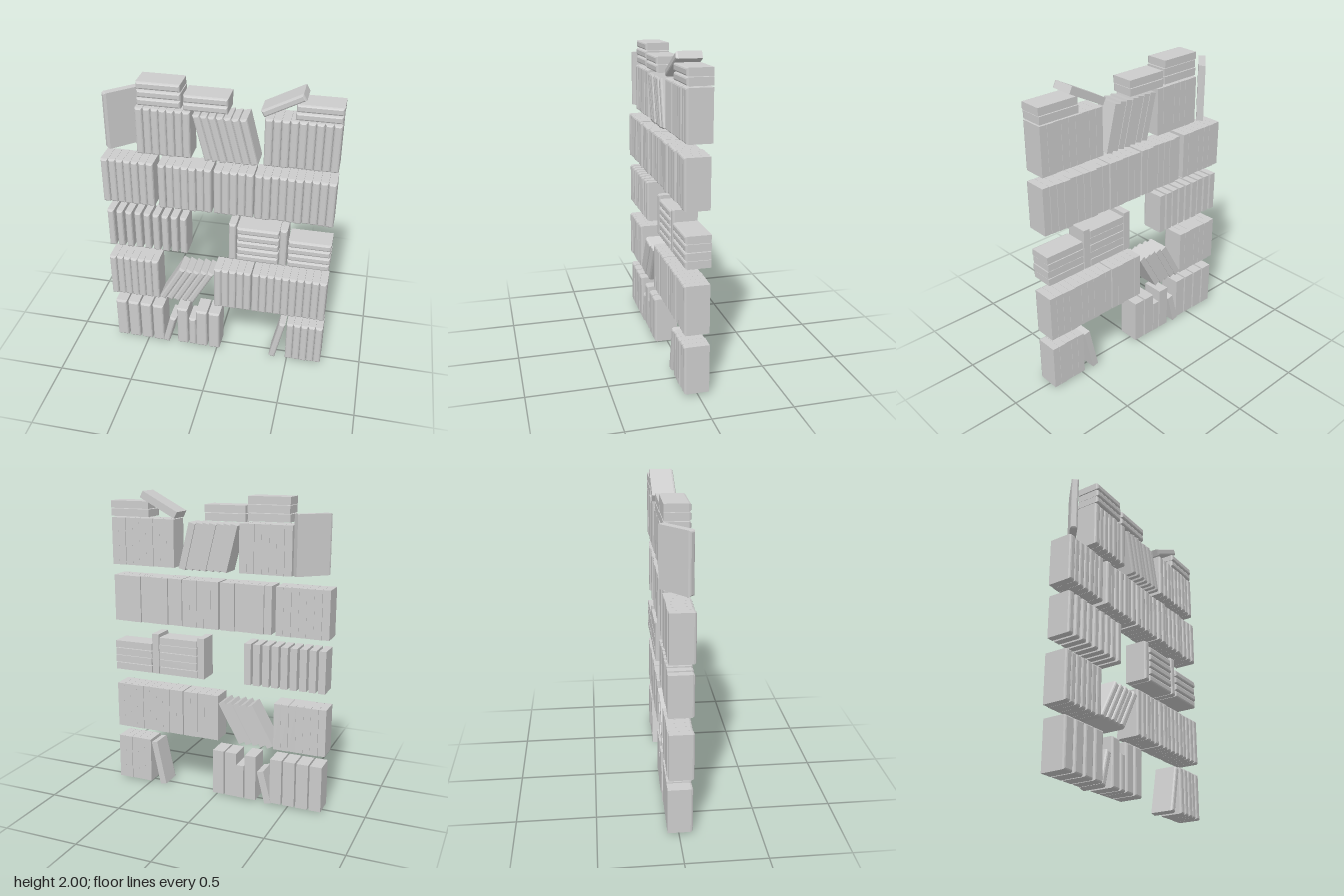
import * as THREE from 'three';

const BACK = -0.07, DEPTH = 0.155;
const material = new THREE.MeshStandardMaterial({ color: 0xcccccc, flatShading: true });

// A closed book: a box whose front (spine) end is softened in two steps
function bookGeometry(w, h, d) {
  const geo = new THREE.BoxGeometry(w, h, d, 1, 1, 3);
  const p = geo.attributes.position;
  const rings = [[0, 0], [0.014, 0], [0.004, 0.004], [0, 0.011]]; // [set back, inset], back to front
  for (let i = 0; i < p.count; i++) {
    const ring = Math.round((p.getZ(i) / d + 0.5) * 3);
    if (ring === 0) continue;
    const [setBack, inset] = rings[ring];
    p.setXYZ(i,
      p.getX(i) - Math.sign(p.getX(i)) * inset,
      p.getY(i) - Math.sign(p.getY(i)) * inset,
      d / 2 - setBack);
  }
  geo.computeVertexNormals();
  return geo;
}

export function createModel() {
  const model = new THREE.Group();
  model.name = 'shelvedBooks';

  const shelf = (name) => {
    const g = new THREE.Group();
    g.name = name;
    model.add(g);
    return g;
  };

  // Book whose tilted outline starts at left x and bottom y
  function book(parent, name, x, y, w, h, tilt = 0, out = 0) {
    const c = Math.abs(Math.cos(tilt)), s = Math.abs(Math.sin(tilt));
    const mesh = new THREE.Mesh(bookGeometry(w, h, DEPTH), material);
    mesh.name = name;
    mesh.position.set(x + (w * c + h * s) / 2, y + (h * c + w * s) / 2, BACK + DEPTH / 2 + out);
    mesh.rotation.z = tilt;
    parent.add(mesh);
    return mesh;
  }

  // Upright run between x0 and x1, with a small gap and slightly uneven depth
  function run(parent, x0, x1, y, h, n, gap = 0.001, uneven = 0.004) {
    const pitch = (x1 - x0 + gap) / n;
    for (let i = 0; i < n; i++) {
      const out = uneven * ((i * 5 + n) % 4) / 3;
      book(parent, 'uprightBook', x0 + i * pitch, y, pitch - gap, h, 0, out);
    }
  }

  // Leaning run
  function lean(parent, x, y, w, h, tilt, n, pitch, out = 0) {
    for (let i = 0; i < n; i++) {
      book(parent, 'leaningBook', x + i * pitch, y, w, h, tilt, out + 0.003 * (i % 3));
    }
  }

  // Books lying flat on one another
  function stack(parent, x, y, length, n, pitch = 0.051) {
    for (let i = 0; i < n; i++) {
      book(parent, 'flatBook', x + 0.003 * (i % 2), y + i * pitch, pitch - 0.004, length, Math.PI / 2, 0.002 * (i % 2));
    }
  }

  // Bottom shelf
  const s1 = shelf('bottomShelfBooks');
  run(s1, -0.725, -0.38, 0.013, 0.305, 4, 0.011);
  lean(s1, -0.39, 0.0, 0.045, 0.222, -0.25, 1, 0);
  book(s1, 'uprightBook', -0.282, 0.013, 0.076, 0.305);
  book(s1, 'shortBook', -0.197, 0.013, 0.05, 0.227);
  run(s1, -0.145, 0.022, 0.013, 0.305, 2, 0.011);
  lean(s1, 0.373, 0.003, 0.043, 0.307, -0.21, 1, 0);
  run(s1, 0.488, 0.733, 0.013, 0.305, 5);

  // Second shelf
  const s2 = shelf('secondShelfBooks');
  run(s2, -0.74, -0.4, 0.393, 0.307, 7);
  lean(s2, -0.398, 0.39, 0.043, 0.298, -0.51, 5, 0.049);
  run(s2, -0.016, 0.233, 0.393, 0.307, 5);
  run(s2, 0.241, 0.733, 0.393, 0.307, 10);

  // Middle shelf
  const s3 = shelf('middleShelfBooks');
  run(s3, -0.727, -0.195, 0.803, 0.27, 9, 0.016);
  book(s3, 'uprightBook', 0.082, 0.803, 0.047, 0.27);
  stack(s3, 0.134, 0.803, 0.27, 5, 0.0505);
  book(s3, 'uprightBook', 0.41, 0.803, 0.047, 0.27);
  stack(s3, 0.463, 0.803, 0.27, 4, 0.0505);

  // Fourth shelf
  const s4 = shelf('fourthShelfBooks');
  run(s4, -0.74, -0.4, 1.143, 0.306, 7);
  run(s4, -0.37, -0.03, 1.143, 0.306, 7, 0.001, 0.01);
  run(s4, -0.016, 0.233, 1.143, 0.306, 5);
  run(s4, 0.241, 0.733, 1.143, 0.306, 10, 0.001, 0.01);

  // Top shelf
  const s5 = shelf('topShelfBooks');
  const turned = new THREE.Mesh(bookGeometry(0.045, 0.368, 0.23), material);
  turned.name = 'turnedBook';
  turned.position.set(-0.607, 1.706, -0.01);
  turned.rotation.y = -0.83;
  s5.add(turned);
  run(s5, -0.495, -0.157, 1.516, 0.304, 7);
  lean(s5, -0.143, 1.51, 0.045, 0.302, 0.245, 7, 0.0472, 0.005);
  run(s5, 0.288, 0.733, 1.521, 0.305, 9);
  stack(s5, -0.48, 1.836, 0.268, 3);
  stack(s5, -0.198, 1.829, 0.268, 2);
  stack(s5, 0.463, 1.835, 0.27, 2);
  book(s5, 'restingBook', 0.262, 1.832, 0.046, 0.27, -Math.PI / 2 + 0.485);

  return model;
}
